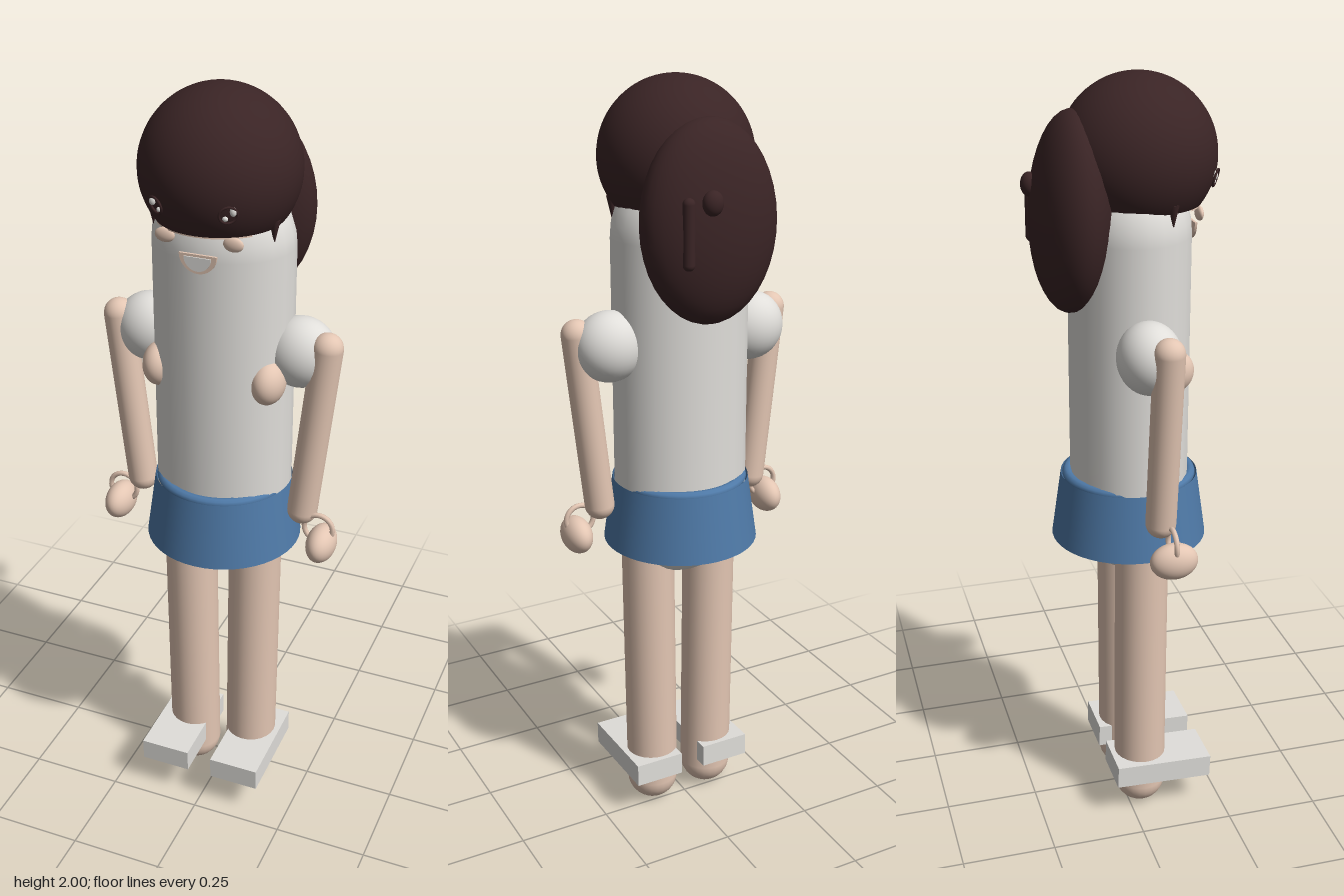
import * as THREE from 'three';

const mat = (name, color, side = THREE.FrontSide) => {
  const m = new THREE.MeshStandardMaterial({ color, side });
  m.name = name;
  return m;
};

export function createModel() {
  const root = new THREE.Group();
  root.name = 'figure';
  const hair = mat('dark brown', 0x3a2425, THREE.DoubleSide);
  const white = mat('off white', 0xe0deda);
  const skin = mat('skin', 0xe3c6b3);
  const blue = mat('denim blue', 0x4f7aa8, THREE.DoubleSide);

  const add = (name, geo, material, x, y, z, parent = root) => {
    const m = new THREE.Mesh(geo, material);
    m.name = name;
    m.position.set(x, y, z);
    parent.add(m);
    return m;
  };
  const ellipsoid = (name, material, p, r) => {
    const m = add(name, new THREE.SphereGeometry(1, 32, 20), material, ...p);
    m.scale.set(...r);
    return m;
  };
  // Round-ended limb running between two centres
  const limb = (name, material, a, b, r) => {
    const A = new THREE.Vector3(...a), B = new THREE.Vector3(...b);
    const d = B.clone().sub(A);
    const m = add(name, new THREE.CapsuleGeometry(r, d.length(), 8, 24), material, 0, 0, 0);
    m.position.copy(A).add(B).multiplyScalar(0.5);
    m.quaternion.setFromUnitVectors(new THREE.Vector3(0, 1, 0), d.normalize());
    return m;
  };

  // Torso: oval capsule reaching from the hips up into the hair
  const torso = limb('torso', white, [0, 0.89, 0.025], [0, 1.62, 0.025], 0.178);
  torso.scale.z = 0.85;

  // Skirt and waistband
  add('skirt', new THREE.CylinderGeometry(0.178, 0.203, 0.175, 48, 1, true), blue, 0, 0.895, 0.025);
  const band = add('waistband', new THREE.TorusGeometry(0.16, 0.014, 10, 48), blue, 0, 0.98, 0.025);
  band.rotation.x = Math.PI / 2;

  // Hair: open cap, large back lobe and its clips
  add('hairCap', new THREE.SphereGeometry(0.193, 48, 32, 0, Math.PI * 2, 0, 2.21), hair, 0, 1.807, 0.045);
  const rim = add('hairUnderside', new THREE.CircleGeometry(0.155, 48), hair, 0, 1.692, 0.045);
  rim.rotation.x = Math.PI / 2;
  const lobe = ellipsoid('backHair', hair, [0, 1.675, -0.122], [0.179, 0.245, 0.098]);
  lobe.rotation.x = 0.05;
  ellipsoid('hairKnot', hair, [0.04, 1.74, -0.212], [0.026, 0.03, 0.022]);
  limb('hairStrand', hair, [0.095, 1.60, -0.198], [0.095, 1.74, -0.198], 0.015);

  // Smile: half-disc lip with a smaller pale half-disc in front
  const smile = (name, r, material, z) => {
    const s = new THREE.Shape();
    s.absarc(0, 0, r, Math.PI, Math.PI * 2, false);
    s.closePath();
    return add(name, new THREE.ExtrudeGeometry(s, { depth: 0.006, bevelEnabled: false, curveSegments: 20 }),
      material, 0, 1.641, z);
  };
  smile('lips', 0.047, skin, 0.178);
  const teeth = smile('teeth', 0.034, white, 0.181);
  teeth.position.y = 1.635;

  // Thin strip of forehead below the fringe
  const brow = add('forehead', new THREE.CylinderGeometry(0.158, 0.158, 0.008, 32, 1, true, -0.85, 1.7),
    skin, 0, 1.692, 0.04);
  brow.material = skin;

  for (const s of [-1, 1]) {
    const side = s > 0 ? 'left' : 'right';

    // Face
    ellipsoid(side + 'Cheek', skin, [s * 0.085, 1.675, 0.175], [0.025, 0.018, 0.009]);
    const eye = add(side + 'Eye', new THREE.TorusGeometry(0.021, 0.003, 6, 24), hair, s * 0.088, 1.758, 0.214);
    eye.rotation.set(0.3, s * 0.5, 0);
    ellipsoid(side + 'EyeGlint', white, [s * 0.098, 1.766, 0.209], [0.008, 0.011, 0.006]);
    ellipsoid(side + 'EyeLowerGlint', white, [s * 0.08, 1.748, 0.212], [0.007, 0.006, 0.005]);

    // Side lock of hair
    const lock = add(side + 'Lock', new THREE.ConeGeometry(0.014, 0.06, 12), hair, s * 0.152, 1.685, 0.09);
    lock.rotation.x = Math.PI;

    // Sleeve, chest mound and arm
    ellipsoid(side + 'Sleeve', white, [s * 0.2, 1.36, 0.02], [0.09, 0.09, 0.08]);
    ellipsoid(side + 'Chest', skin, [s * 0.143, 1.3, 0.092], [0.043, 0.057, 0.058]);
    limb(side + 'Arm', skin, [s * 0.276, 1.393, 0.046], [s * 0.225, 0.93, 0.046], 0.039);

    // Hand with a thin curved thumb ring
    ellipsoid(side + 'Hand', skin, [s * 0.285, 0.85, 0.063], [0.038, 0.048, 0.062]);
    add(side + 'Thumb', new THREE.TorusGeometry(0.038, 0.007, 8, 28), skin, s * 0.275, 0.892, 0.062);

    // Leg and shoe slab
    limb(side + 'Leg', skin, [s * 0.093, 0.86, 0.035], [s * 0.085, 0.07, 0.035], 0.07);
    const shoe = add(side + 'Shoe', new THREE.BoxGeometry(0.137, 0.062, 0.265), white, s * 0.103, 0.127, 0.083);
    shoe.rotation.x = 0.03;
  }
  return root;
}
